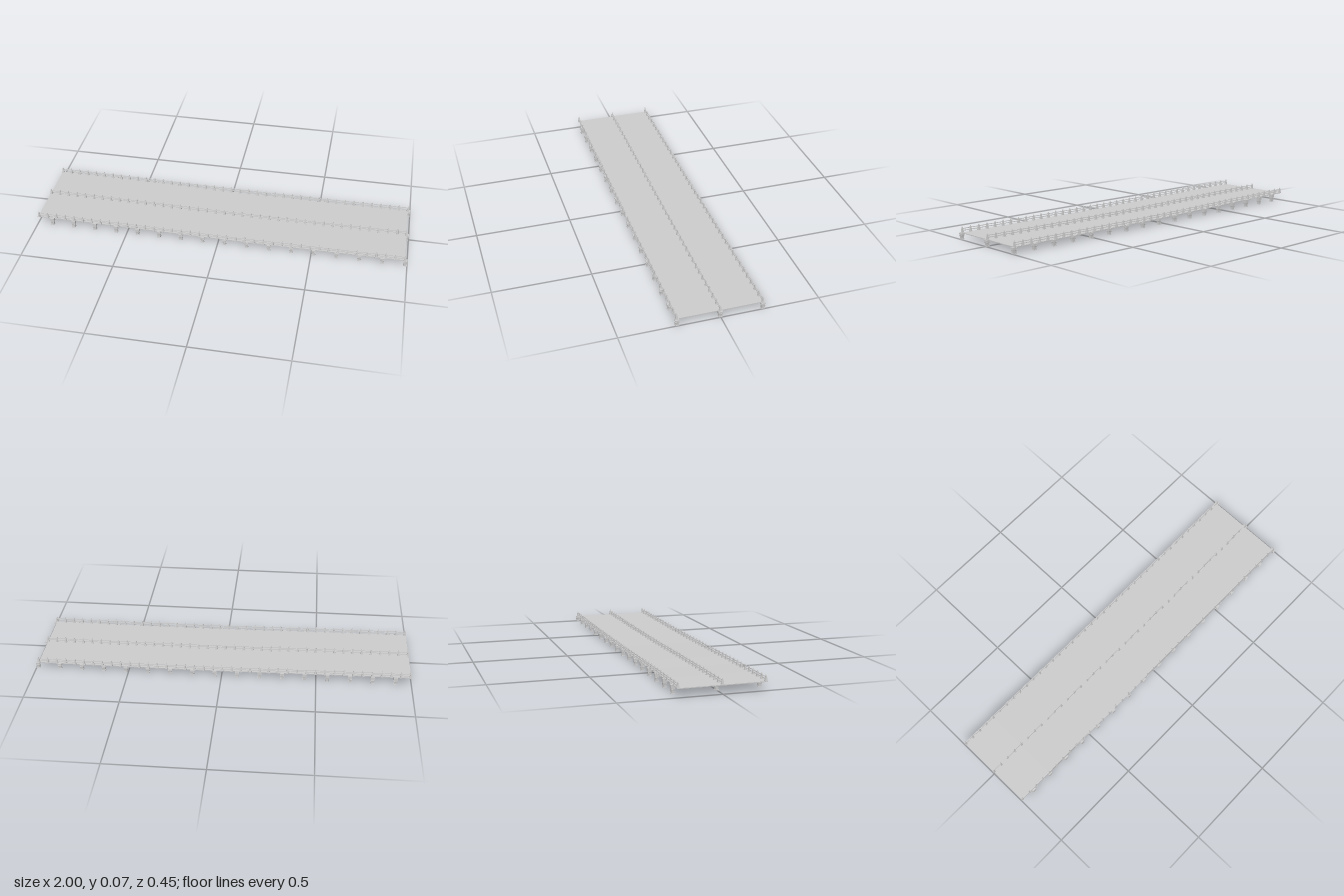
import * as THREE from 'three';

const material = new THREE.MeshStandardMaterial({ color: 0xcccccc, flatShading: true, side: THREE.DoubleSide });

// Walking surface: high at the right-hand end (-x), settling to a gentle sag
const profile = [[-1, 0.044], [-0.8, 0.0435], [-0.6, 0.041], [-0.4, 0.039], [-0.2, 0.0355],
  [0, 0.033], [0.2, 0.032], [0.6, 0.032], [1, 0.033]];
function deckY(x) {
  for (let i = 1; i < profile.length; i++) {
    const [x0, y0] = profile[i - 1], [x1, y1] = profile[i];
    if (x <= x1) return y0 + (y1 - y0) * (x - x0) / (x1 - x0);
  }
  return 0.033;
}

const X0 = -0.997, X1 = 0.987, PIERS = 17, POSTS = 41;
const rows = { left: 0.214, middle: 0, right: -0.214 };

// Strip that follows the walking surface; bottom and top are offsets from it
function strip(name, z, depth, bottom, top) {
  const xs = [X0, ...profile.map(p => p[0]).filter(x => x > X0 && x < X1), X1];
  const shape = new THREE.Shape();
  xs.forEach((x, i) => i ? shape.lineTo(x, deckY(x) + top) : shape.moveTo(x, deckY(x) + top));
  [...xs].reverse().forEach(x => shape.lineTo(x, deckY(x) + bottom));
  const geo = new THREE.ExtrudeGeometry(shape, { depth, bevelEnabled: false });
  geo.translate(0, 0, z - depth / 2);
  const mesh = new THREE.Mesh(geo, material);
  mesh.name = name;
  return mesh;
}

// Square tapered block standing at y0
function block(name, y0, y1, bottomWidth, topWidth) {
  const geo = new THREE.CylinderGeometry(topWidth / Math.SQRT2, bottomWidth / Math.SQRT2, y1 - y0, 4);
  geo.rotateY(Math.PI / 4);
  geo.translate(0, (y0 + y1) / 2, 0);
  const mesh = new THREE.Mesh(geo, material);
  mesh.name = name;
  return mesh;
}

// Stone pier: foot, shaft, flared capital and a cap reaching the deck
function pier(x, z) {
  const group = new THREE.Group();
  group.name = 'pier';
  const top = deckY(x);
  group.add(
    block('pierFoot', 0, 0.004, 0.019, 0.018),
    block('pierShaft', 0.004, 0.016, 0.015, 0.016),
    block('pierCapital', 0.016, 0.02, 0.018, 0.02),
    block('pierNeck', 0.02, 0.026, 0.017, 0.017),
    block('pierCap', 0.026, top - 0.001, 0.021, 0.021));
  group.position.set(x, 0, z);
  return group;
}

// Tapered railing post with a small pointed cap
function post(x, z) {
  const group = new THREE.Group();
  group.name = 'railingPost';
  group.add(
    block('postBase', -0.002, 0.003, 0.014, 0.013),
    block('postShaft', 0.003, 0.025, 0.011, 0.006),
    block('postCap', 0.025, 0.030, 0.006, 0.003));
  group.position.set(x, deckY(x), z);
  return group;
}

export function createModel() {
  const model = new THREE.Group();
  model.name = 'bridge';
  model.add(strip('deck', 0, 0.43, -0.004, 0));

  for (const [side, z] of Object.entries(rows)) {
    const railing = new THREE.Group();
    railing.name = side + 'Railing';
    railing.add(strip('lowerRail', z, 0.004, 0.009, 0.012), strip('upperRail', z, 0.004, 0.019, 0.022));
    for (let i = 0; i < POSTS; i++) railing.add(post(X0 + 0.004 + (X1 - X0 - 0.004) * i / (POSTS - 1), z));

    const piers = new THREE.Group();
    piers.name = side + 'Piers';
    for (let i = 0; i < PIERS; i++) piers.add(pier(-0.917 + 0.1192 * i, z));
    model.add(railing, piers);
  }
  return model;
}
